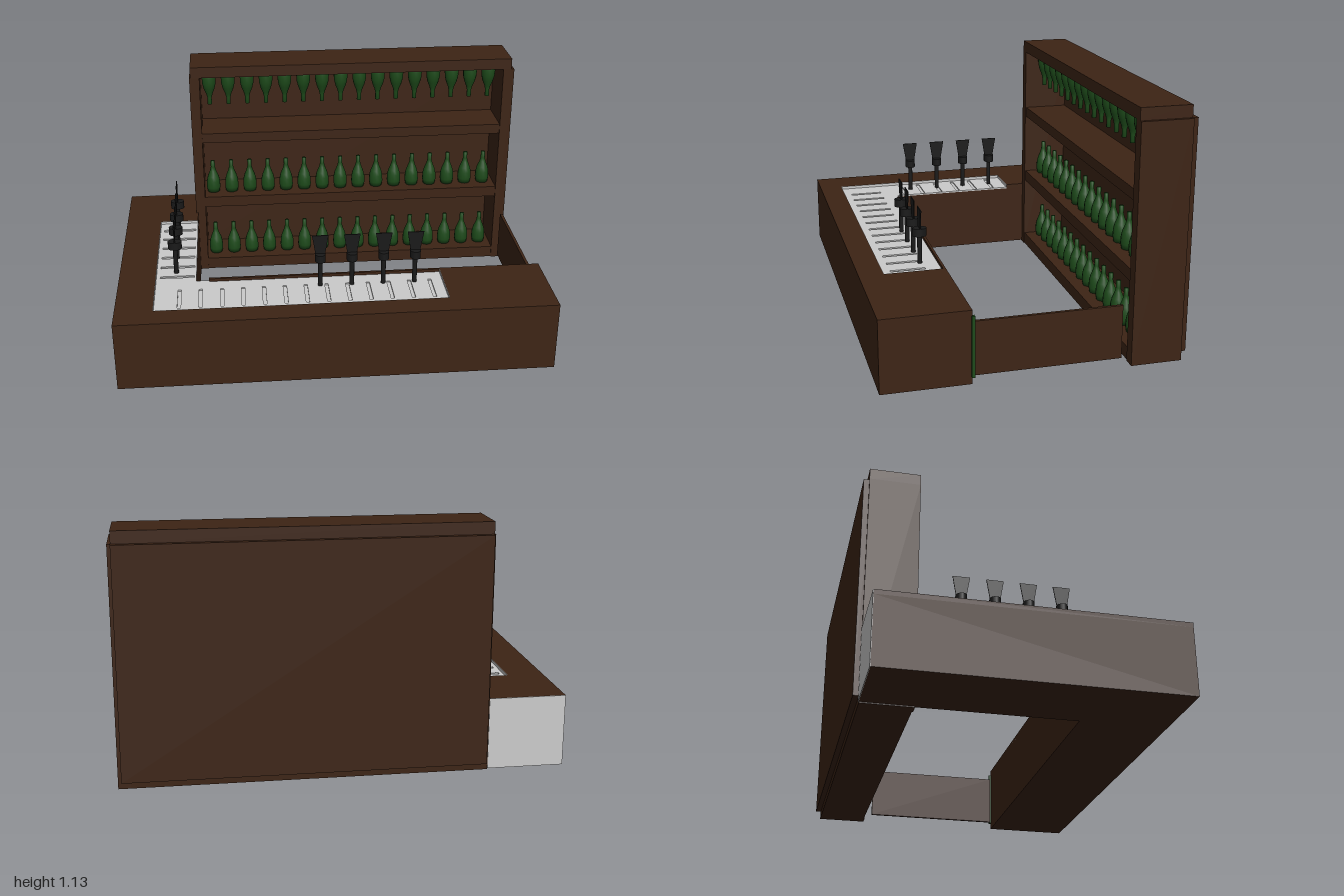
import * as THREE from 'three';

const mat = (color, side = THREE.FrontSide) => new THREE.MeshStandardMaterial({ color, side });
const wood = mat(0x3d2415);
const glass = mat(0x1d4a1a, THREE.DoubleSide);
const black = mat(0x191919);
const grey = mat(0xcccccc);

function add(parent, name, geometry, material) {
  const mesh = new THREE.Mesh(geometry, material);
  mesh.name = name;
  parent.add(mesh);
  return mesh;
}

// Box given by its limits on each axis
function box(parent, name, material, x0, x1, y0, y1, z0, z1) {
  const mesh = add(parent, name, new THREE.BoxGeometry(x1 - x0, y1 - y0, z1 - z0), material);
  mesh.position.set((x0 + x1) / 2, (y0 + y1) / 2, (z0 + z1) / 2);
  return mesh;
}

// Floor-plan outline of [x, z] points raised from y0 to y1
const plan = (points, Kind = THREE.Shape) => new Kind(points.map(([x, z]) => new THREE.Vector2(x, -z)));
function slab(parent, name, material, shape, y0, y1) {
  const geometry = new THREE.ExtrudeGeometry(shape, { depth: y1 - y0, bevelEnabled: false });
  geometry.rotateX(-Math.PI / 2);
  const mesh = add(parent, name, geometry, material);
  mesh.position.y = y0;
  return mesh;
}

function createCounter() {
  const counter = new THREE.Group();
  counter.name = 'counter';

  // L-shaped body and the raised rim around the sunken tray
  const body = [[-1, 0.67], [0.99, 0.67], [0.99, 0.28], [-0.64, 0.28], [-0.64, -0.65], [-1, -0.65]];
  slab(counter, 'counterBody', wood, plan(body), 0.005, 0.314);
  const rim = [[-1, 0.67], [0.99, 0.67], [0.99, 0.28], [0.51, 0.28], [0.51, 0.56], [-0.83, 0.56],
    [-0.83, -0.33], [-0.64, -0.33], [-0.64, -0.65], [-1, -0.65]];
  slab(counter, 'counterRim', wood, plan(rim), 0.314, 0.335);
  box(counter, 'innerLip', wood, -0.58, 0.51, 0.314, 0.335, 0.28, 0.292);
  box(counter, 'counterEndPlate', grey, -1, -0.65, 0.005, 0.335, -0.653, -0.65);

  // Drip tray with drain slots in both arms
  const trayOutline = [[-0.83, 0.56], [0.51, 0.56], [0.51, 0.28], [-0.64, 0.28], [-0.64, -0.33], [-0.83, -0.33]];
  const tray = plan(trayOutline);
  const slot = (x0, x1, z0, z1) => tray.holes.push(plan([[x0, z0], [x1, z0], [x1, z1], [x0, z1]], THREE.Path));
  for (let i = 0; i < 13; i++) {
    const x = -0.715 + i * 0.097;
    slot(x - 0.008, x + 0.008, 0.36, 0.52);
  }
  for (let i = 0; i < 6; i++) {
    const z = -0.25 + i * 0.097;
    slot(-0.81, -0.65, z - 0.009, z + 0.009);
  }
  slab(counter, 'dripTray', grey, tray, 0.315, 0.321);
  slab(counter, 'dripTrayFloor', grey, plan(trayOutline), 0.314, 0.315);

  // Thin metal lining on the tray walls
  const t = 0.002;
  box(counter, 'trayWallOuter', grey, -0.83, -0.83 + t, 0.32, 0.335, -0.33, 0.56);
  box(counter, 'trayWallFront', grey, -0.83, 0.51, 0.32, 0.335, 0.56 - t, 0.56);
  box(counter, 'trayWallLeft', grey, 0.51 - t, 0.51, 0.32, 0.335, 0.292, 0.56);
  box(counter, 'trayWallBack', grey, -0.83, -0.64, 0.32, 0.335, -0.33, -0.33 + t);
  return counter;
}

function createTap() {
  const tap = new THREE.Group();
  tap.name = 'beerTap';
  add(tap, 'tapColumn', new THREE.CylinderGeometry(0.011, 0.011, 0.14, 12), black).position.y = 0.07;
  const collar = add(tap, 'tapCollar', new THREE.CylinderGeometry(0.025, 0.025, 0.037, 16), black);
  collar.position.y = 0.15;
  collar.scale.z = 1.3;
  // Flat flared handle
  const flare = new THREE.Shape([[-0.022, 0.165], [0.022, 0.165], [0.038, 0.26], [-0.038, 0.26]]
    .map(([x, y]) => new THREE.Vector2(x, y)));
  const handle = new THREE.ExtrudeGeometry(flare, { depth: 0.005, bevelEnabled: false });
  add(tap, 'tapHandle', handle, black).position.z = -0.0025;
  return tap;
}

function createShelfUnit() {
  const unit = new THREE.Group();
  unit.name = 'backShelfUnit';
  box(unit, 'rightSide', wood, -0.65, -0.6, 0, 1.075, -0.65, -0.42);
  box(unit, 'leftSide', wood, 0.935, 0.99, 0, 1.075, -0.65, -0.42);
  box(unit, 'topCap', wood, -0.645, 0.975, 1.075, 1.13, -0.65, -0.42);
  box(unit, 'backPanel', wood, -0.64, 0.975, 0.035, 1.075, -0.675, -0.64);
  for (const [y0, y1] of [[0, 0.06], [0.365, 0.42], [0.725, 0.775]]) {
    box(unit, 'shelf', wood, -0.6, 0.935, y0, y1, -0.65, -0.425);
  }

  // Two standing rows of bottles and one row hung upside down
  const profile = [[0, 0], [0.031, 0], [0.036, 0.025], [0.034, 0.06], [0.028, 0.085], [0.016, 0.115],
    [0.011, 0.135], [0.011, 0.17], [0, 0.17]].map(([r, y]) => new THREE.Vector2(r, y));
  const bottle = new THREE.LatheGeometry(profile, 14);
  for (const [y, hung] of [[0.06, false], [0.42, false], [1.075, true]]) {
    const row = new THREE.Group();
    row.name = hung ? 'hangingBottles' : 'standingBottles';
    for (let i = 0; i < 16; i++) {
      const mesh = add(row, 'bottle', bottle, glass);
      mesh.position.set(-0.555 + i * 0.0955, y, -0.51);
      if (hung) mesh.rotation.x = Math.PI;
    }
    unit.add(row);
  }
  return unit;
}

export function createModel() {
  const bar = new THREE.Group();
  bar.name = 'bar';
  bar.add(createCounter(), createShelfUnit());

  // Four taps on each arm
  for (let i = 0; i < 4; i++) {
    const front = createTap();
    front.position.set(-0.065 + i * 0.147, 0.32, 0.37);
    const side = createTap();
    side.position.set(-0.735, 0.32, -0.25 + i * 0.147);
    side.rotation.y = -Math.PI / 2;
    bar.add(front, side);
  }

  // Low door closing the gap, with its hinge
  box(bar, 'door', wood, 0.96, 0.974, 0.035, 0.278, -0.38, 0.27);
  box(bar, 'doorHinge', glass, 0.98, 0.997, 0.035, 0.31, 0.27, 0.284);
  return bar;
}
